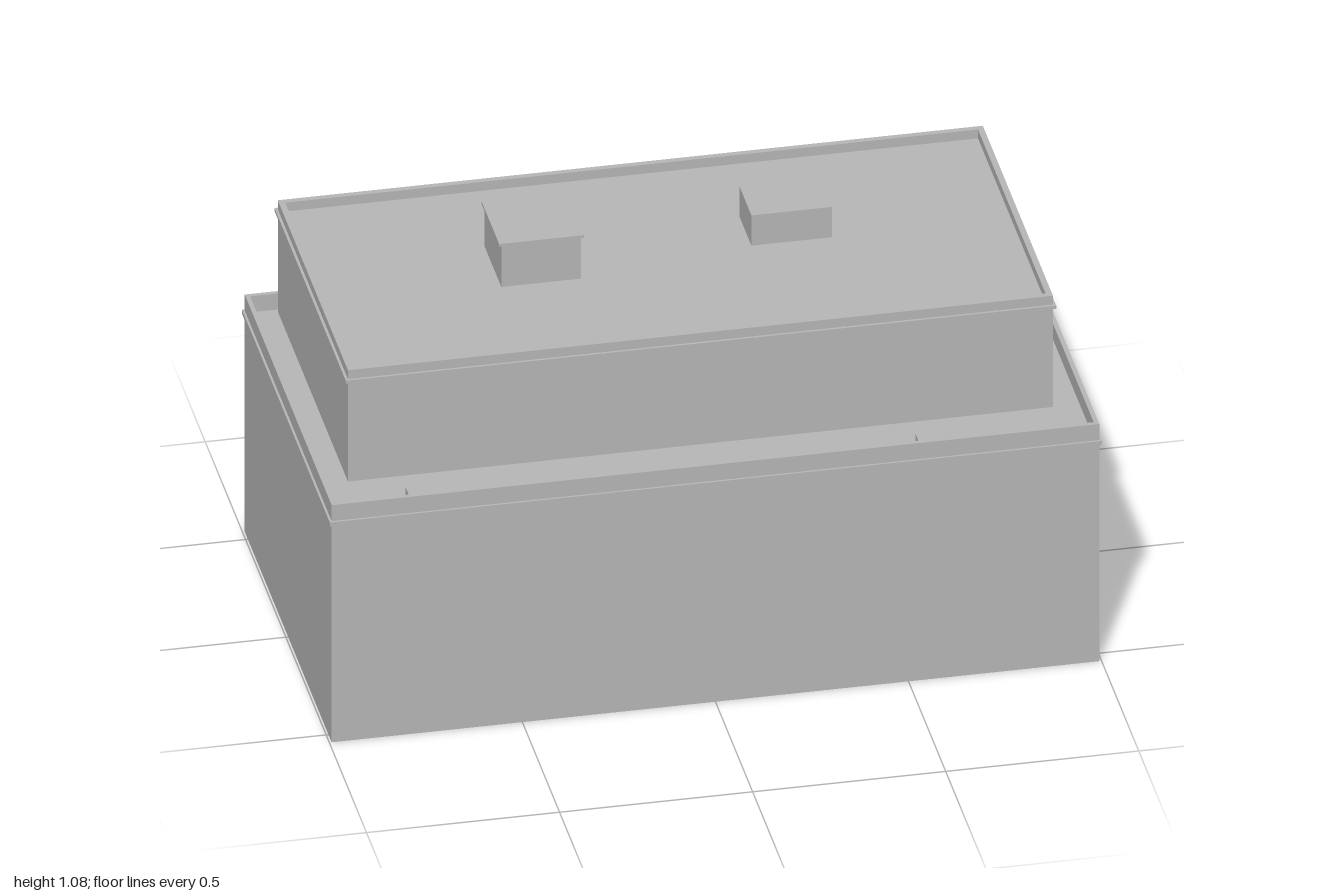
import * as THREE from 'three';

export function createModel() {
  const model = new THREE.Group();
  model.name = 'steppedBuilding';
  const concrete = new THREE.MeshStandardMaterial({ color: 0xb8b8b8 });
  concrete.name = 'concreteGrey';
  // same grey, seen from both sides, for the thin open walls
  const wallGrey = new THREE.MeshStandardMaterial({ color: 0xb8b8b8, side: THREE.DoubleSide });
  wallGrey.name = 'wallGrey';

  function add(name, geometry, x, y, z, material = concrete, parent = model) {
    const mesh = new THREE.Mesh(geometry, material);
    mesh.name = name;
    mesh.position.set(x, y, z);
    parent.add(mesh);
    return mesh;
  }

  // solid block given by its base height and top height
  function block(name, w, d, y0, y1, x, z, parent = model) {
    return add(name, new THREE.BoxGeometry(w, y1 - y0, d), x, (y0 + y1) / 2, z, concrete, parent);
  }

  // four walls with no floor or ceiling
  function openWalls(w, h, d) {
    const geo = new THREE.BoxGeometry(w, h, d);
    const index = Array.from(geo.index.array);
    geo.setIndex([...index.slice(0, 12), ...index.slice(24, 36)]);
    geo.clearGroups();
    return geo;
  }

  // rectangular frame standing on y = 0
  function frame(w, d, h, t) {
    const rect = (Type, a, b) => {
      const s = new Type();
      s.moveTo(-a, -b);
      s.lineTo(a, -b);
      s.lineTo(a, b);
      s.lineTo(-a, b);
      s.closePath();
      return s;
    };
    const shape = rect(THREE.Shape, w / 2, d / 2);
    shape.holes.push(rect(THREE.Path, w / 2 - t, d / 2 - t));
    const geo = new THREE.ExtrudeGeometry(shape, { depth: h, bevelEnabled: false });
    geo.rotateX(-Math.PI / 2);
    return geo;
  }

  // one storey block: walls, projecting roof slab and parapet
  function tier(name, { w, d, z, base, slab, roof, top, lip, parapet }) {
    const group = new THREE.Group();
    group.name = name;
    model.add(group);
    add(name + 'Walls', openWalls(w, roof - base, d), 0, (base + roof) / 2, z, wallGrey, group);
    block(name + 'RoofSlab', w + 2 * lip, d + 2 * lip, slab, roof, 0, z, group);
    add(name + 'Parapet', frame(w, d, top - roof, parapet), 0, roof, z, concrete, group);
  }

  tier('lowerTier', {
    w: 1.988, d: 1.078, z: 0, base: 0, slab: 0.638, roof: 0.65, top: 0.697, lip: 0.006, parapet: 0.012,
  });
  tier('upperTier', {
    w: 1.826, d: 0.87, z: -0.082, base: 0.65, slab: 0.942, roof: 0.951, top: 0.977, lip: 0.007, parapet: 0.016,
  });

  // rooftop stair house with a thin cap
  block('roofHouse', 0.206, 0.206, 0.951, 1.074, -0.335, -0.122);
  block('roofHouseCap', 0.22, 0.22, 1.074, 1.082, -0.335, -0.122);

  // rooftop equipment box
  block('roofUnit', 0.208, 0.146, 0.951, 1.04, 0.329, -0.165);

  // low vents on the front terrace
  for (const side of [-1, 1]) {
    block(side > 0 ? 'leftTerraceVent' : 'rightTerraceVent', 0.247, 0.038, 0.65, 0.673, side * 0.66, 0.468);
  }
  return model;
}
